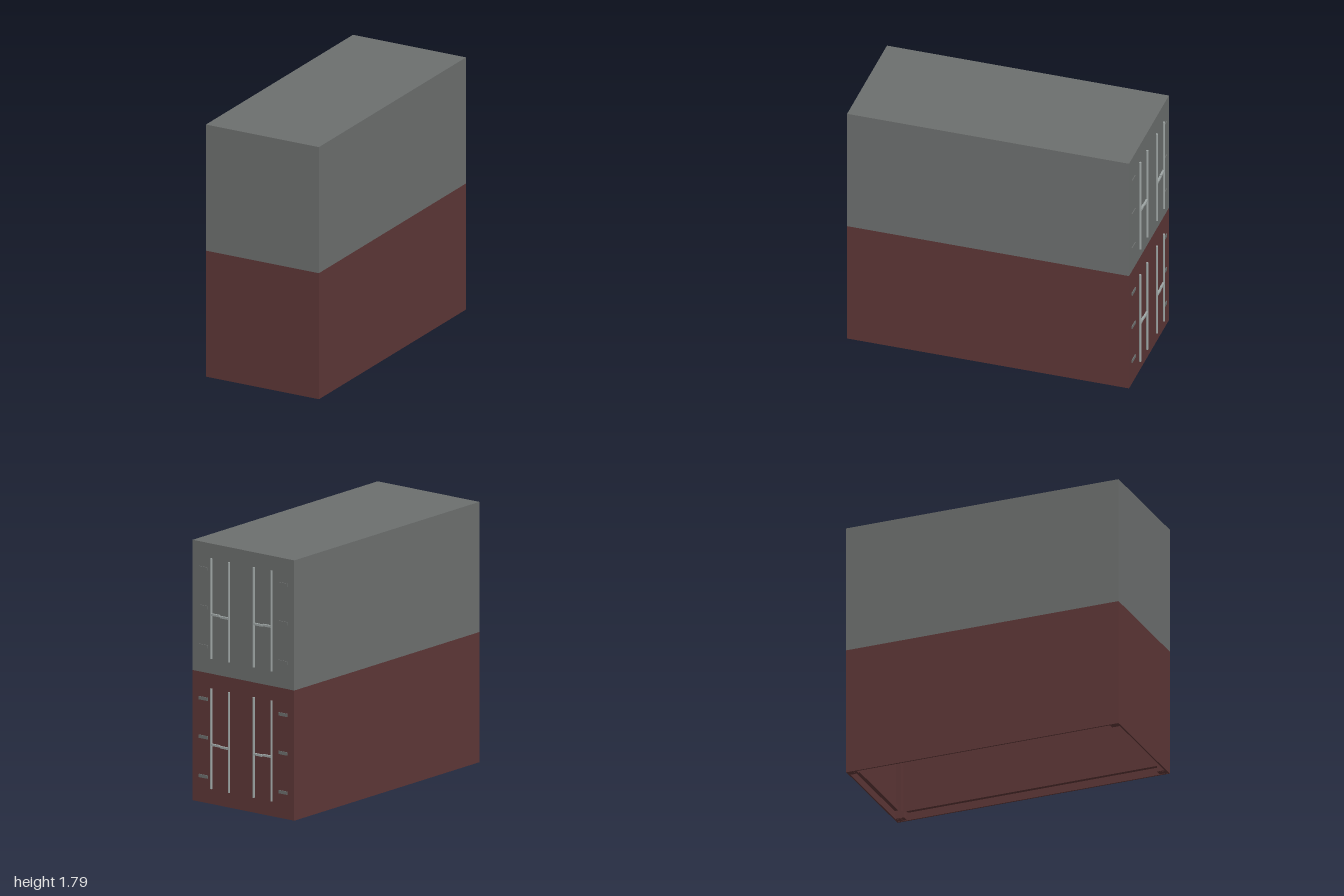
import * as THREE from 'three';

const W = 0.866, H = 0.895, FRONT = 1, BACK = -0.97, T = 0.01;
const L = FRONT - BACK, MID = (FRONT + BACK) / 2;

const mat = (name, color) => {
  const m = new THREE.MeshStandardMaterial({ color });
  m.name = name;
  return m;
};

function box(parent, name, material, size, pos) {
  const mesh = new THREE.Mesh(new THREE.BoxGeometry(...size), material);
  mesh.name = name;
  mesh.position.set(...pos);
  parent.add(mesh);
  return mesh;
}

function container(name, paint, steel, hingePaint) {
  const g = new THREE.Group();
  g.name = name;

  // Shell, open underneath
  box(g, 'roof', paint, [W, T, L], [0, H - T / 2, MID]);
  for (const s of [-1, 1]) {
    box(g, 'sideWall', paint, [T, H - T, L], [s * (W - T) / 2, (H - T) / 2, MID]);
  }
  box(g, 'frontWall', paint, [W - 2 * T, H - T, T], [0, (H - T) / 2, FRONT - T / 2]);
  box(g, 'doorWall', paint, [W - 2 * T, H - T, T], [0, (H - T) / 2, BACK + T / 2]);

  // Inner frame: posts, corner blocks and raised bottom rails
  const d = 0.036, railY = 0.055, railH = 0.04;
  for (const sx of [-1, 1]) {
    for (const sz of [-1, 1]) {
      const cx = sx * (W / 2 - T), cz = MID + sz * (L / 2 - T);
      box(g, 'cornerPost', paint, [d, H - T, d], [cx - sx * d / 2, (H - T) / 2 + 0.002, cz - sz * d / 2]);
      box(g, 'cornerBlock', paint, [0.045, 0.05, 0.06], [cx - sx * 0.0225, 0.029, cz - sz * 0.03]);
    }
    box(g, 'sideRail', paint, [d - T, railH, L - 0.16], [sx * (W / 2 - T - (d - T) / 2), railY + railH / 2, MID]);
    box(g, 'endRail', paint, [W - 0.14, railH, d - T], [0, railY + railH / 2, MID + sx * (L / 2 - T - (d - T) / 2)]);
  }

  // Door fittings, mirrored on both leaves
  for (const s of [-1, 1]) {
    for (const x of [0.105, 0.257]) {
      const bar = new THREE.Mesh(new THREE.CylinderGeometry(0.008, 0.008, 0.69, 10), steel);
      bar.name = 'lockingBar';
      bar.position.set(s * x, 0.455, BACK - 0.022);
      g.add(bar);
    }
    box(g, 'innerHandle', steel, [0.076, 0.014, 0.014], [s * 0.14, 0.41, BACK - 0.022]);
    box(g, 'outerHandle', steel, [0.076, 0.014, 0.014], [s * 0.222, 0.415, BACK - 0.022]);
    for (const y of [0.18, 0.45, 0.715]) {
      box(g, 'hinge', hingePaint, [0.075, 0.022, 0.006], [s * 0.34, y, BACK - 0.003]);
    }
  }
  return g;
}

export function createModel() {
  const gray = mat('grayPaint', 0x6c6f6e);
  const red = mat('darkRedPaint', 0x5d3636);
  const steel = mat('paleSteel', 0x9da4a3);

  const model = new THREE.Group();
  model.name = 'stackedContainers';
  const lower = container('lowerContainer', red, steel, gray);
  const upper = container('upperContainer', gray, steel, gray);
  upper.position.y = H;
  model.add(lower, upper);
  return model;
}
